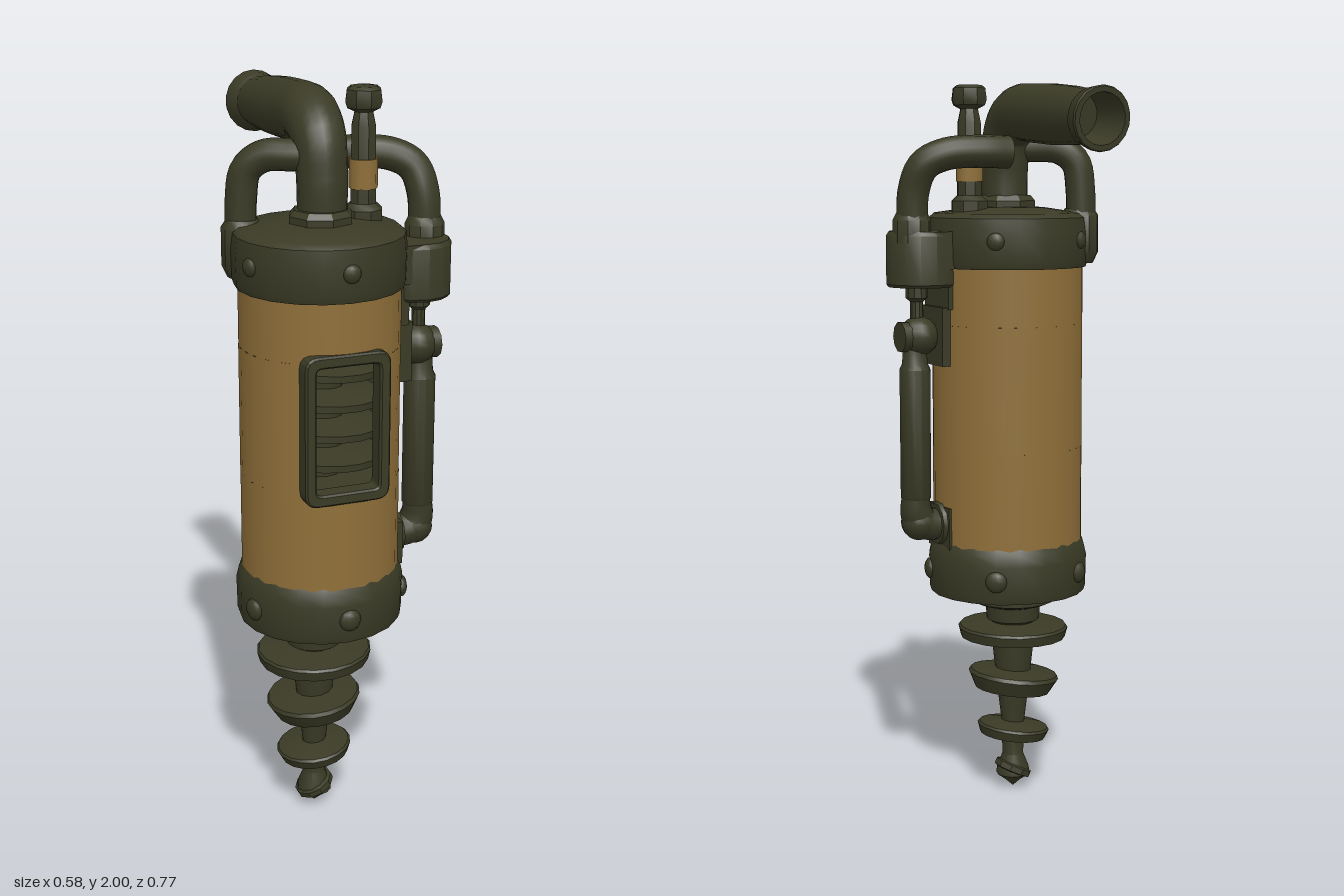
import * as THREE from 'three';
import { toCreasedNormals } from 'three/addons/utils/BufferGeometryUtils.js';

const dark = new THREE.MeshStandardMaterial({ color: 0x3a3a26, side: THREE.DoubleSide });
dark.name = 'dark olive metal';
const tan = new THREE.MeshStandardMaterial({ color: 0x8f6f39, side: THREE.DoubleSide });
tan.name = 'ochre paint';

const CX = -0.06, CZ = 0.145; // main axis
const V = (x, y, z) => new THREE.Vector3(x, y, z);

export function createModel() {
  const model = new THREE.Group();
  model.name = 'drillTool';

  const add = (name, geo, x = 0, y = 0, z = 0, mat = dark) => {
    const m = new THREE.Mesh(geo, mat);
    m.name = name;
    m.position.set(x, y, z);
    model.add(m);
    return m;
  };
  // Turned part from [radius, height] pairs, listed bottom to top
  const turned = (pts, sides = 16) =>
    toCreasedNormals(new THREE.LatheGeometry(pts.map(p => new THREE.Vector2(...p)), sides), 0.6);
  // Pipe along a curve whose radius changes along its length
  const pipe = (pts, radii, steps = 28, sides = 14) => {
    const curve = new THREE.CatmullRomCurve3(pts, false, 'centripetal');
    const geo = new THREE.TubeGeometry(curve, steps, 1, sides);
    const pos = geo.attributes.position, v = V(0, 0, 0);
    for (let i = 0; i <= steps; i++) {
      const c = curve.getPointAt(i / steps);
      const f = (i / steps) * (radii.length - 1), k = Math.min(Math.floor(f), radii.length - 2);
      const r = THREE.MathUtils.lerp(radii[k], radii[k + 1], f - k);
      for (let j = 0; j <= sides; j++) {
        const n = i * (sides + 1) + j;
        v.fromBufferAttribute(pos, n).sub(c).multiplyScalar(r).add(c);
        pos.setXYZ(n, v.x, v.y, v.z);
      }
    }
    return geo;
  };

  // Painted barrel, left open behind the window
  const R = 0.21, gap = 0.5;
  const shell = (name, y0, y1, r, open, mat) => add(name,
    new THREE.CylinderGeometry(r, r, y1 - y0, 28, 1, true, open ? gap : 0, Math.PI * 2 - (open ? 2 * gap : 0)),
    CX, (y0 + y1) / 2, CZ, mat);
  shell('barrelLower', 0.73, 1.01, R, false, tan);
  shell('barrelMiddle', 1.01, 1.355, R, true, tan);
  shell('barrelUpper', 1.355, 1.53, R, false, tan);
  shell('barrelLining', 1.0, 1.365, R - 0.006, true, dark);
  for (const y of [1.0, 1.365]) {
    add('chamberPlate', new THREE.CylinderGeometry(R - 0.005, R - 0.005, 0.008, 24), CX, y, CZ);
  }

  // Window frame
  const rounded = (path, w, h, r) => {
    path.moveTo(-w + r, -h);
    path.lineTo(w - r, -h); path.quadraticCurveTo(w, -h, w, -h + r);
    path.lineTo(w, h - r); path.quadraticCurveTo(w, h, w - r, h);
    path.lineTo(-w + r, h); path.quadraticCurveTo(-w, h, -w, h - r);
    path.lineTo(-w, -h + r); path.quadraticCurveTo(-w, -h, -w + r, -h);
    return path;
  };
  const frame = rounded(new THREE.Shape(), 0.11, 0.193, 0.03);
  frame.holes.push(rounded(new THREE.Path(), 0.09, 0.172, 0.02));
  add('windowFrame', new THREE.ExtrudeGeometry(frame, {
    depth: 0.045, bevelEnabled: true, bevelSize: 0.005, bevelThickness: 0.006, bevelSegments: 1, curveSegments: 4,
  }), CX - 0.005, 1.182, 0.312);

  // Feed screw inside the window
  add('feedShaft', new THREE.CylinderGeometry(0.06, 0.06, 0.36, 14), CX, 1.182, CZ);
  for (let i = 0; i < 4; i++) {
    const disc = add('feedFlight', turned([[0.05, -0.025], [0.165, -0.01], [0.165, 0.008], [0.05, 0.025]], 20),
      CX, 1.06 + i * 0.08, CZ);
    disc.rotation.z = -0.07;
  }

  // End caps
  add('lowerCap', turned([[0, 0.595], [0.15, 0.595], [0.19, 0.588], [0.218, 0.595], [0.223, 0.61],
    [0.225, 0.7], [0.218, 0.73], [0.208, 0.75], [0, 0.75]], 20), CX, 0, CZ);
  add('upperCap', turned([[0, 1.51], [0.218, 1.51], [0.223, 1.525], [0.225, 1.6], [0.22, 1.645],
    [0.205, 1.657], [0.1, 1.672], [0, 1.675]], 20), CX, 0, CZ);
  for (let i = 0; i < 5; i++) {
    const a = (i * Math.PI * 2) / 5;
    for (const [y, r] of [[0.66, 0.03], [1.585, 0.024]]) {
      const bolt = add('capBolt', new THREE.SphereGeometry(r, 10, 8), CX + 0.222 * Math.sin(a), y, CZ + 0.222 * Math.cos(a));
      bolt.rotation.y = a;
      bolt.scale.z = 0.55;
    }
  }

  // Drill: neck, tapered shaft and point
  const DX = -0.075, DZ = 0.14;
  add('drillNeck', turned([[0.05, 0.49], [0.075, 0.505], [0.078, 0.545], [0.1, 0.552], [0.118, 0.56],
    [0.118, 0.582], [0.09, 0.6]], 18), DX, 0, DZ);
  add('drillShaft', turned([[0, 0], [0.022, 0.02], [0.048, 0.04], [0.046, 0.06], [0.03, 0.1], [0.033, 0.2],
    [0.045, 0.3], [0.058, 0.42], [0.06, 0.52]], 12), DX, 0, DZ);
  const flights = [[0.47, 0.157, 0.15, 0.017, 0.02], [0.32, 0.13, 0.108, 0.026, 0.12], [0.172, 0.104, 0.094, 0.016, 0.13]];
  for (const [y, top, bottom, half, tilt] of flights) {
    const f = add('drillFlight', turned([[0.03, -half - 0.012], [bottom, -half], [top, half * 0.6],
      [top - 0.005, half], [0.03, half + 0.012]], 18), DX, y, DZ);
    f.rotation.z = tilt;
  }
  const lip = add('tipFlight', turned([[0.02, -0.02], [0.055, -0.008], [0.055, 0.008], [0.02, 0.02]], 10), DX, 0.055, DZ);
  lip.rotation.z = 0.45;

  // Exhaust pipe: rises from the cap, bends back and ends in an open flare
  add('exhaustCollar', turned([[0.085, 1.63], [0.085, 1.69], [0.072, 1.705], [0.05, 1.705]], 8), CX, 0, 0.155);
  add('exhaustPipe', pipe([V(-0.055, 1.64, 0.15), V(-0.055, 1.78, 0.15), V(-0.055, 1.875, 0.13), V(-0.053, 1.922, 0.06),
    V(-0.052, 1.921, -0.04), V(-0.052, 1.914, -0.15), V(-0.051, 1.908, -0.25), V(-0.05, 1.902, -0.335)],
    [0.063, 0.064, 0.066, 0.074, 0.078, 0.079, 0.075, 0.066], 36, 18));
  const flare = add('exhaustFlare', turned([[0.064, -0.005], [0.076, 0.01], [0.083, 0.05], [0.08, 0.055],
    [0.066, 0.055], [0.058, -0.07], [0, -0.07]], 18), -0.05, 1.903, -0.323);
  flare.rotation.x = -Math.PI / 2 - 0.1;

  // Side pipe from the cap rim to the exhaust
  add('rightPipe', pipe([V(-0.232, 1.58, 0.04), V(-0.232, 1.72, 0.04), V(-0.22, 1.795, 0.047), V(-0.18, 1.83, 0.07),
    V(-0.12, 1.835, 0.11), V(-0.06, 1.835, 0.145)], [0.041, 0.041]));
  add('rightPipeFoot', turned([[0.04, 1.52], [0.054, 1.55], [0.054, 1.65], [0.04, 1.67]], 10), -0.232, 0, 0.045);

  // Side pipe from the exhaust to the valve housing
  add('leftPipe', pipe([V(-0.01, 1.82, 0.045), V(0.06, 1.822, 0.05), V(0.16, 1.815, 0.075), V(0.215, 1.785, 0.1),
    V(0.235, 1.72, 0.122), V(0.237, 1.6, 0.13)], [0.044, 0.042]));
  add('leftPipeFoot', turned([[0.052, 1.58], [0.052, 1.64], [0.042, 1.66]], 10), 0.237, 0, 0.132);

  // Valve housing joined to the cap
  add('valveHousing', turned([[0, 1.46], [0.092, 1.46], [0.098, 1.468], [0.098, 1.598], [0.09, 1.61], [0, 1.61]], 14),
    0.197, 0, 0.157);
  add('housingBridge', new THREE.BoxGeometry(0.12, 0.1, 0.18), 0.14, 1.56, 0.155);

  // Plunger with a knob on top and a painted band
  add('plunger', turned([[0.052, 1.64], [0.052, 1.69], [0.035, 1.705], [0.033, 1.9], [0.025, 1.935], [0.045, 1.945],
    [0.05, 1.96], [0.046, 1.99], [0.036, 1.998], [0, 2.0]], 8), 0.067, 0, 0.125);
  add('plungerBand', new THREE.CylinderGeometry(0.037, 0.037, 0.075, 10), 0.067, 1.78, 0.125, tan);

  // Outer feed line: rod, valve, cylinder and elbow back to the barrel
  const LX = 0.22, LZ = 0.157;
  add('feedRod', turned([[0.018, 1.34], [0.018, 1.42], [0.03, 1.43], [0.03, 1.47]], 10), LX - 0.007, 0, LZ);
  add('valveBall', new THREE.SphereGeometry(0.055, 14, 10), LX - 0.012, 1.325, LZ);
  const knob = add('valveKnob', new THREE.CylinderGeometry(0.042, 0.042, 0.08, 10), LX + 0.005, 1.325, LZ);
  knob.rotation.z = Math.PI / 2;
  add('feedCylinder', turned([[0.032, 0.84], [0.036, 0.87], [0.043, 0.88], [0.043, 1.235], [0.036, 1.25], [0.032, 1.3]], 14),
    LX, 0, LZ);
  add('feedElbow', pipe([V(LX, 0.89, LZ), V(LX, 0.84, LZ), V(LX - 0.015, 0.81, LZ), V(LX - 0.045, 0.8, LZ), V(0.12, 0.8, LZ)],
    [0.038, 0.046, 0.046, 0.038]));
  add('elbowBall', new THREE.SphereGeometry(0.05, 12, 10), LX - 0.008, 0.808, LZ);
  const flange = add('elbowFlange', new THREE.CylinderGeometry(0.058, 0.065, 0.03, 10), 0.147, 0.8, LZ);
  flange.rotation.z = -Math.PI / 2;

  // Mounting pads on the barrel
  add('valveMount', new THREE.BoxGeometry(0.06, 0.16, 0.13), 0.137, 1.325, LZ);
  add('valveMountTop', new THREE.BoxGeometry(0.03, 0.1, 0.15), 0.138, 1.45, LZ);
  add('elbowMount', new THREE.BoxGeometry(0.03, 0.12, 0.13), 0.135, 0.79, LZ);

  return model;
}
